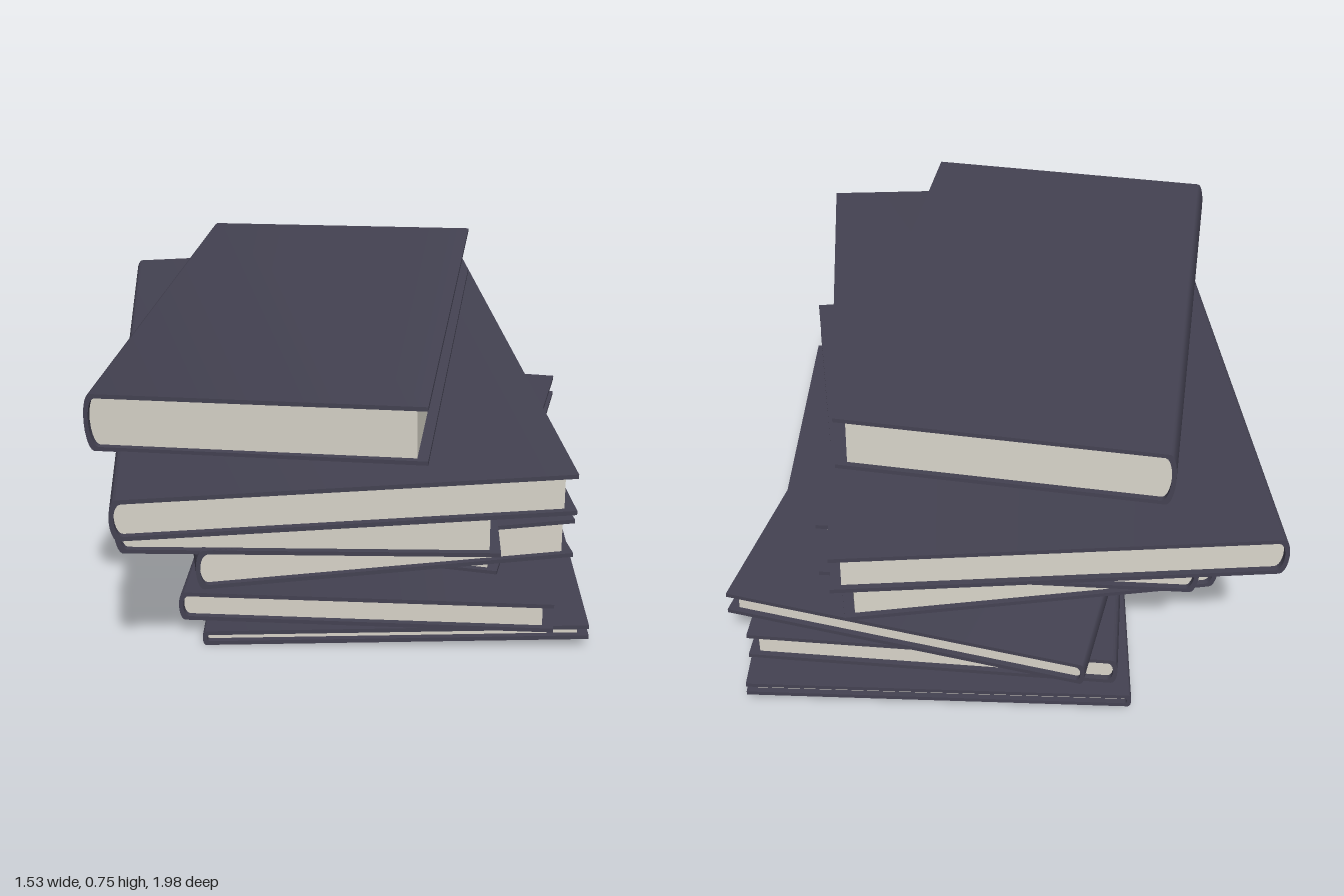
import * as THREE from 'three';
import { toCreasedNormals } from 'three/addons/utils/BufferGeometryUtils.js';

const COVER = 0.011; // board thickness

// Outline from the fore edge round a bulging spine: bottom to top, n steps on the spine
function spineCurve(left, bulge, y0, y1, n = 10) {
  const pts = [];
  for (let i = 0; i <= n; i++) {
    const a = (i / n) * Math.PI;
    const s = (1 - Math.cos(a)) / 2;
    pts.push(new THREE.Vector2(left + bulge * (1 - Math.sin(a)), y0 + (y1 - y0) * s));
  }
  return pts;
}

function extrudeAlongZ(points, length) {
  const geo = new THREE.ExtrudeGeometry(new THREE.Shape(points), { depth: length, bevelEnabled: false });
  geo.translate(0, 0, -length / 2);
  return toCreasedNormals(geo, 0.6);
}

function makeBook(b, coverMat, pageMat) {
  const { w, l, t } = b;
  const bulge = Math.min(0.02, t * 0.18);
  const left = -w / 2, right = w / 2;
  const book = new THREE.Group();

  // Hard cover: two boards joined by the rounded spine
  const outer = spineCurve(left, bulge, 0, t);
  const inner = spineCurve(left + COVER, bulge, COVER, t - COVER).reverse();
  const cover = new THREE.Mesh(extrudeAlongZ([
    new THREE.Vector2(right, COVER), new THREE.Vector2(right, 0), ...outer,
    new THREE.Vector2(right, t), new THREE.Vector2(right, t - COVER), ...inner,
  ], l), coverMat);
  cover.name = 'cover';

  // Page block, set back from the cover on three sides
  const pages = new THREE.Mesh(extrudeAlongZ([
    new THREE.Vector2(right - 0.027, COVER),
    ...spineCurve(left + COVER, bulge, COVER, t - COVER),
    new THREE.Vector2(right - 0.027, t - COVER),
  ], l - 0.03), pageMat);
  pages.name = 'pages';

  book.add(cover, pages);
  book.position.set(b.x, b.y, b.z);
  book.rotation.set(-b.sz, b.yaw, b.sx, 'YXZ');
  return book;
}

export function createModel() {
  const coverMat = new THREE.MeshStandardMaterial({ color: 0x444252 });
  coverMat.name = 'slate cover';
  const pageMat = new THREE.MeshStandardMaterial({ color: 0xd8d4c9 });
  pageMat.name = 'cream paper';

  // Bottom to top: centre, size, turn, and slopes along width and length
  const books = [
    { x: 0.17, y: 0.023, z: -0.12, w: 0.98, l: 1.515, t: 0.04, yaw: 0.139, sx: 0.031, sz: -0.01 },
    { x: 0.145, y: 0.067, z: -0.09, w: 0.95, l: 1.45, t: 0.08, yaw: 0.07, sx: 0.013, sz: -0.014 },
    { x: 0.107, y: 0.145, z: -0.2, w: 0.945, l: 1.25, t: 0.066, yaw: -0.095, sx: 0.02, sz: -0.02 },
    { x: 0.05, y: 0.205, z: -0.04, w: 0.965, l: 1.33, t: 0.108, yaw: 0.305, sx: 0.02, sz: -0.019 },
    { x: -0.015, y: 0.302, z: -0.007, w: 0.95, l: 1.43, t: 0.164, yaw: 0.105, sx: 0.018, sz: -0.025 },
    { x: -0.03, y: 0.465, z: -0.003, w: 1.08, l: 1.775, t: 0.105, yaw: 0.24, sx: 0.024, sz: -0.0225 },
    { x: -0.065, y: 0.572, z: 0.03, w: 0.83, l: 1.4, t: 0.15, yaw: 0.007, sx: 0.02, sz: -0.034 },
  ];

  const model = new THREE.Group();
  model.name = 'bookStack';
  books.forEach((b, i) => {
    const book = makeBook(b, coverMat, pageMat);
    book.name = `book${i + 1}`;
    model.add(book);
  });
  return model;
}
